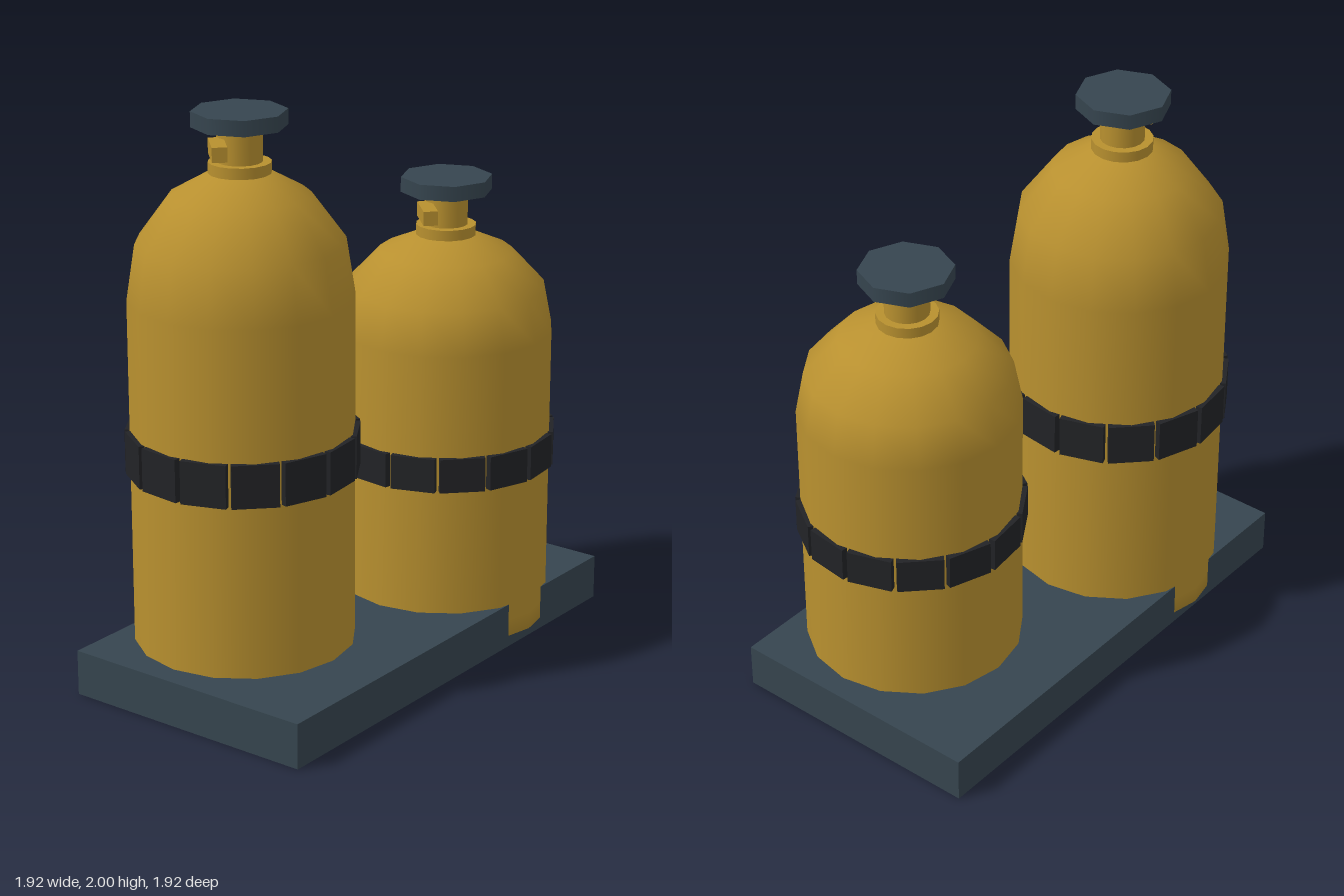
import * as THREE from 'three';

const paint = (name, color) => {
  const m = new THREE.MeshStandardMaterial({ color });
  m.name = name;
  return m;
};

export function createModel() {
  const gold = paint('ochre', 0xb8902f);
  const slate = paint('slate', 0x36454f);
  const black = paint('black', 0x222326);

  const add = (parent, name, geometry, material, x, y, z) => {
    const mesh = new THREE.Mesh(geometry, material);
    mesh.name = name;
    mesh.position.set(x, y, z);
    parent.add(mesh);
    return mesh;
  };
  const cyl = (r, h, n) => new THREE.CylinderGeometry(r, r, h, n);

  // One gas cylinder; shoulder = top of the straight wall, rise = dome height
  function makeTank(name, x, z, shoulder, rise, bandY, bandHeight) {
    const tank = new THREE.Group();
    tank.name = name;
    tank.position.set(x, 0, z);
    const top = shoulder + rise;

    // Body with a shallow rounded foot and a domed shoulder
    const profile = [
      [0, 0.004], [0.33, 0.015], [0.38, 0.04], [0.38, 0.1], [0.38, shoulder],
      [0.35, shoulder + rise * 0.45], [0.235, shoulder + rise * 0.82],
      [0.1, top], [0, top + 0.01],
    ].map(([r, y]) => new THREE.Vector2(r, y));
    add(tank, 'body', new THREE.LatheGeometry(profile, 16), gold, 0, 0, 0);

    // Valve: collar, neck, side outlet and octagonal handwheel
    add(tank, 'collar', cyl(0.105, 0.045, 16), gold, 0, top + 0.0125, 0);
    add(tank, 'neck', cyl(0.076, 0.16, 16), gold, 0, top + 0.09, 0);
    add(tank, 'outlet', new THREE.BoxGeometry(0.05, 0.05, 0.14), gold, -0.08, top + 0.095, 0.085);
    add(tank, 'handwheel', cyl(0.16, 0.053, 8), slate, 0, top + 0.1785, 0);

    // Strap made of separate pads around the body
    const strap = new THREE.Group();
    strap.name = 'strap';
    tank.add(strap);
    const count = 14;
    for (let i = 0; i < count; i++) {
      const a = (i / count) * Math.PI * 2;
      const pad = add(strap, 'strapPad', new THREE.BoxGeometry(0.158, bandHeight, 0.03), black,
        Math.sin(a) * 0.374, bandY, Math.cos(a) * 0.374);
      pad.rotation.y = a;
    }
    return tank;
  }

  const model = new THREE.Group();
  model.name = 'gasCylinders';

  // Slab turned diagonally under both cylinders
  const base = add(model, 'base', new THREE.BoxGeometry(1.77, 0.16, 0.946), slate, 0, 0.08, 0);
  base.rotation.y = Math.PI / 4;

  model.add(makeTank('tallTank', -0.38, 0.22, 1.37, 0.425, 0.843, 0.15));
  model.add(makeTank('shortTank', 0.38, -0.22, 1.1, 0.335, 0.677, 0.122));
  model.children[2].scale.y = 1;
  return model;
}
